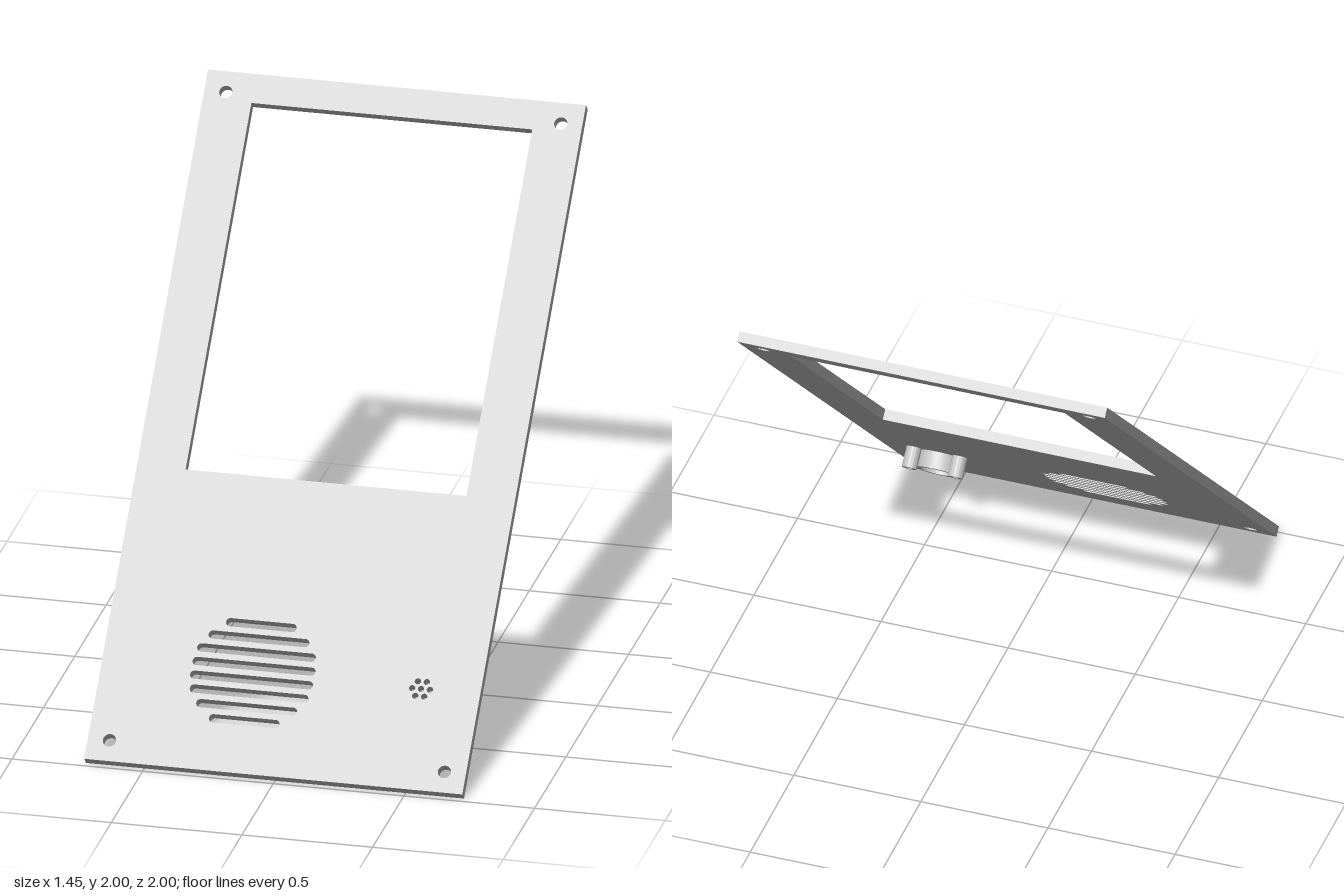
import * as THREE from 'three';
import { toCreasedNormals } from 'three/addons/utils/BufferGeometryUtils.js';

const THICK = 0.04, WIDTH = 1.447, LENGTH = 2.788;
const MIC = { x: 0.497, y: -0.99 };

// Closed rectangle path from corner to corner
function rect(path, x0, y0, x1, y1) {
  path.moveTo(x0, y0).lineTo(x1, y0).lineTo(x1, y1).lineTo(x0, y1).closePath();
  return path;
}

function circle(path, x, y, r) {
  path.absarc(x, y, r, 0, Math.PI * 2, false);
  return path;
}

// Horizontal slot with round ends
function slot(x, y, halfLength, r) {
  const path = new THREE.Path();
  const dx = halfLength - r;
  path.absarc(x + dx, y, r, -Math.PI / 2, Math.PI / 2, false);
  path.absarc(x - dx, y, r, Math.PI / 2, Math.PI * 1.5, false);
  path.closePath();
  return path;
}

function extrude(shape, depth, backZ) {
  const geo = new THREE.ExtrudeGeometry(shape, { depth, bevelEnabled: false, curveSegments: 24 });
  geo.translate(0, 0, backZ);
  return toCreasedNormals(geo, 0.6);
}

export function createModel() {
  const grey = new THREE.MeshStandardMaterial({ color: 0xc0c0c0 });
  grey.name = 'light grey';
  const model = new THREE.Group();
  model.name = 'slopedPanel';

  const add = (name, geo) => {
    const mesh = new THREE.Mesh(geo, grey);
    mesh.name = name;
    model.add(mesh);
  };

  // Panel outline with the screen opening
  const panel = rect(new THREE.Shape(), -WIDTH / 2, -LENGTH / 2, WIDTH / 2, LENGTH / 2);
  panel.holes.push(rect(new THREE.Path(), -0.5375, -0.205, 0.5375, 1.277));

  // Corner screw holes
  for (const sx of [-1, 1]) {
    for (const sy of [-1, 1]) {
      panel.holes.push(circle(new THREE.Path(), sx * 0.641, sy * 1.311, 0.025));
    }
  }

  // Speaker grille: eight slots filling a circle
  const halfLengths = [0.235, 0.227, 0.193, 0.135];
  halfLengths.forEach((half, i) => {
    for (const s of [-1, 1]) {
      panel.holes.push(slot(-0.147, -0.99 + s * (i + 0.5) * 0.0555, half, 0.0165));
    }
  });

  // Microphone holes: one in the middle, six around it
  panel.holes.push(circle(new THREE.Path(), MIC.x, MIC.y, 0.012));
  for (let i = 0; i < 6; i++) {
    const a = (i * Math.PI) / 3;
    panel.holes.push(circle(new THREE.Path(),
      MIC.x + 0.034 * Math.cos(a), MIC.y + 0.034 * Math.sin(a), 0.012));
  }
  add('panel', extrude(panel, THICK, -THICK / 2));

  // Microphone cup on the back
  const cup = circle(new THREE.Shape(), MIC.x, MIC.y, 0.088);
  cup.holes.push(circle(new THREE.Path(), MIC.x, MIC.y, 0.069));
  add('microphoneCup', extrude(cup, 0.065, -THICK / 2 - 0.065));

  // Two screw bosses beside the cup
  for (const s of [-1, 1]) {
    const x = MIC.x + s * 0.09, y = MIC.y + 0.071;
    const boss = circle(new THREE.Shape(), x, y, 0.029);
    boss.holes.push(circle(new THREE.Path(), x, y, 0.012));
    add(s > 0 ? 'leftScrewBoss' : 'rightScrewBoss', extrude(boss, 0.08, -THICK / 2 - 0.08));
  }

  // Lean the panel back by 45 degrees
  model.rotation.x = -Math.PI / 4;
  model.position.y = 1;
  const root = new THREE.Group();
  root.name = 'controlPanel';
  root.add(model);
  return root;
}
